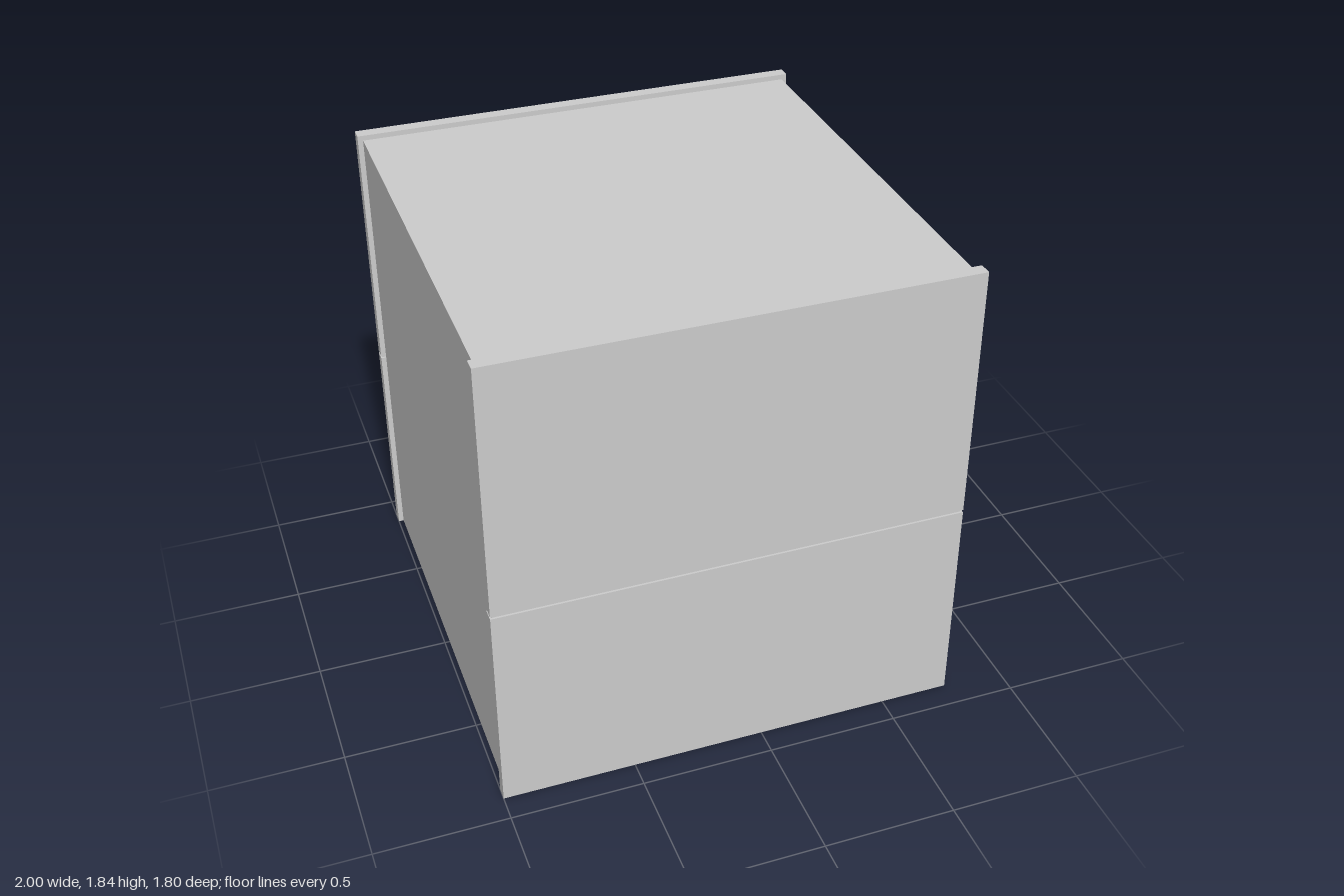
import * as THREE from 'three';

const grey = new THREE.MeshStandardMaterial({ color: 0xcccccc, flatShading: true, side: THREE.DoubleSide });

function add(parent, name, geometry) {
  const mesh = new THREE.Mesh(geometry, grey);
  mesh.name = name;
  parent.add(mesh);
  return mesh;
}

// Box given by its lower and upper corners
function block(parent, name, [x0, y0, z0], [x1, y1, z1]) {
  const mesh = add(parent, name, new THREE.BoxGeometry(x1 - x0, y1 - y0, z1 - z0));
  mesh.position.set((x0 + x1) / 2, (y0 + y1) / 2, (z0 + z1) / 2);
  return mesh;
}

// Side panel in two halves with a recessed seam between them
function sidePanel(side) {
  const panel = new THREE.Group();
  panel.name = side > 0 ? 'frontPanel' : 'backPanel';
  const z0 = side > 0 ? 0.85 : -0.9, z1 = z0 + 0.05, e = 0.008;
  block(panel, 'lowerPanel', [-1, 0, z0], [0.765, 0.84, z1]);
  block(panel, 'seam', [-1 + e, 0.84, z0 + e], [0.765 - e, 0.85, z1 - e]);
  block(panel, 'upperPanel', [-1, 0.85, z0], [0.765, 1.835, z1]);
  return panel;
}

// Wall with a window, a wide low opening and a small door (u runs along -z)
function windowWall() {
  const outline = [
    [-0.85, 0.63], [0.4, 0.63], [0.4, 0], [0.53, 0], [0.53, 0.525], [0.74, 0.525],
    [0.74, 0], [0.85, 0], [0.85, 1.815], [-0.85, 1.815],
  ];
  const shape = new THREE.Shape(outline.map(([u, y]) => new THREE.Vector2(u, y)));
  const hole = [[-0.64, 0.98], [-0.64, 1.605], [0.605, 1.605], [0.605, 0.98]];
  shape.holes.push(new THREE.Path(hole.map(([u, y]) => new THREE.Vector2(u, y))));
  return new THREE.ExtrudeGeometry(shape, { depth: 0.025, bevelEnabled: false })
    .rotateY(Math.PI / 2).translate(0.72, 0, 0);
}

// Long fascia: a box whose outer face is drawn in to form chamfers
function fasciaGeometry() {
  const g = new THREE.BoxGeometry(2, 2, 2, 2, 1, 1);
  const p = g.attributes.position;
  for (let i = 0; i < p.count; i++) {
    const outer = p.getX(i) > 0.5, top = p.getY(i) > 0, front = p.getZ(i) > 0;
    const x = p.getX(i) < -0.5 ? 0.745 : outer ? 0.785 : 0.768;
    const y = top ? (outer ? 0.81 : 0.835) : (outer ? 0.643 : 0.63);
    const z = front ? (outer ? 0.832 : 0.85) : (outer ? -0.385 : -0.4);
    p.setXYZ(i, x, y, z);
  }
  g.computeVertexNormals();
  return g;
}

// Thin sloping sheet with a turned-down lip
function awningGeometry() {
  const section = [[0.745, 0.805], [0.998, 0.637], [0.998, 0.597]];
  const g = new THREE.PlaneGeometry(1, 1, 1, 2);
  const p = g.attributes.position;
  for (let i = 0; i < p.count; i++) {
    const [x, y] = section[Math.floor(i / 2)];
    p.setXYZ(i, x, y, i % 2 ? -0.82 : -0.465);
  }
  // wind the faces so that the upper side is the front
  const idx = g.index;
  for (let i = 0; i < idx.count; i += 3) {
    const a = idx.getX(i);
    idx.setX(i, idx.getX(i + 1));
    idx.setX(i + 1, a);
  }
  g.computeVertexNormals();
  return g;
}

export function createModel() {
  const model = new THREE.Group();
  model.name = 'booth';

  // Shell, open underneath
  model.add(sidePanel(1), sidePanel(-1));
  block(model, 'roof', [-0.98, 1.795, -0.85], [0.72, 1.815, 0.85]);
  block(model, 'rearWall', [-0.98, 0, -0.85], [-0.965, 1.795, 0.85]);
  add(model, 'windowWall', windowWall());

  // Lining of the low opening
  block(model, 'openingTop', [0.52, 0.63, -0.4], [0.72, 0.634, 0.85]);
  block(model, 'openingFrontSide', [0.52, 0, 0.846], [0.745, 0.63, 0.85]);
  block(model, 'openingBackSide', [0.53, 0, -0.404], [0.72, 0.63, -0.4]);

  // Outside fittings
  add(model, 'fascia', fasciaGeometry());
  add(model, 'awning', awningGeometry());
  return model;
}
